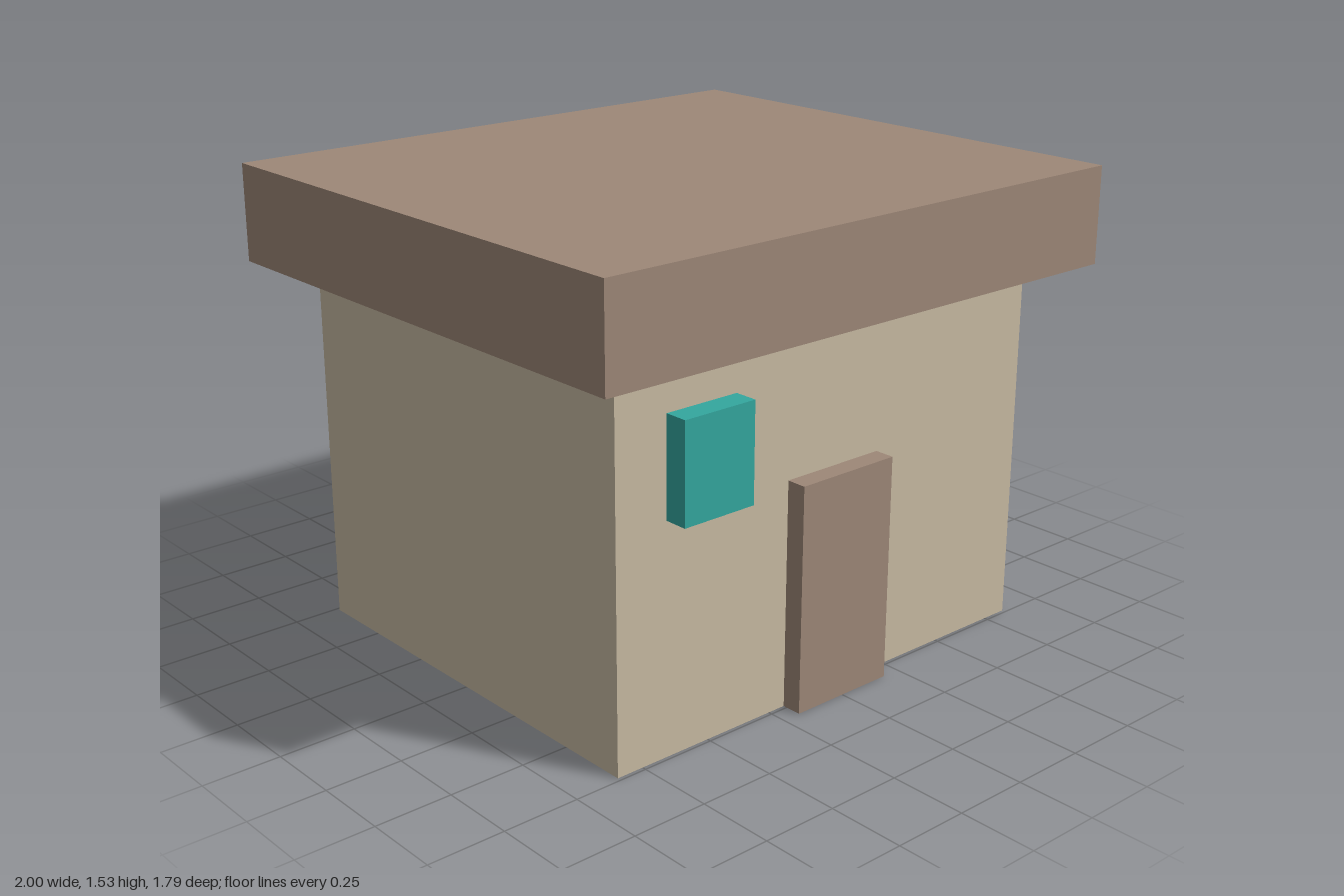
import * as THREE from 'three';

const material = (name, color) => {
  const m = new THREE.MeshStandardMaterial({ color });
  m.name = name;
  return m;
};

// Box given by its minimum and maximum corners
function block(name, mat, [x0, y0, z0], [x1, y1, z1]) {
  const mesh = new THREE.Mesh(new THREE.BoxGeometry(x1 - x0, y1 - y0, z1 - z0), mat);
  mesh.position.set((x0 + x1) / 2, (y0 + y1) / 2, (z0 + z1) / 2);
  mesh.name = name;
  return mesh;
}

export function createModel() {
  const brown = material('brown wood', 0x9e8878);
  const beige = material('beige wall', 0xc8bba3);
  const teal = material('teal glass', 0x34a79f);

  const house = new THREE.Group();
  house.name = 'house';
  house.add(
    block('walls', beige, [-0.842, 0, -0.737], [0.842, 1.213, 0.737]),
    // Flat overhanging slab
    block('roof', brown, [-1, 1.213, -0.895], [1, 1.53, 0.895]),
    // Raised details on the front wall
    block('door', brown, [-0.187, 0, 0.7], [0.187, 0.737, 0.803]),
    block('window', teal, [-0.658, 0.739, 0.7], [-0.398, 1.055, 0.813]),
  );
  return house;
}
